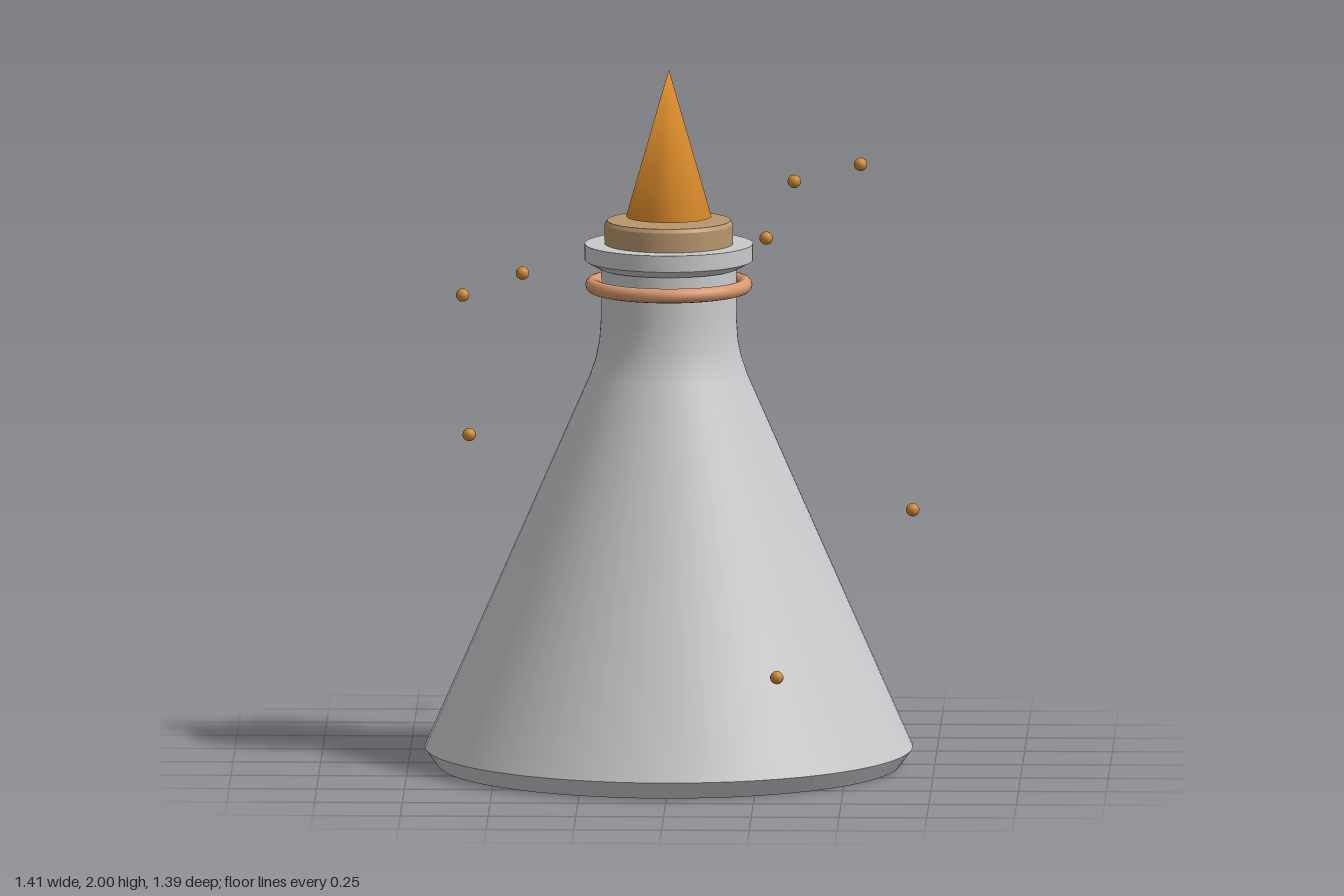
import * as THREE from 'three';
import { mergeVertices, toCreasedNormals } from 'three/addons/utils/BufferGeometryUtils.js';

const material = (name, color) => {
  const m = new THREE.MeshStandardMaterial({ color });
  m.name = name;
  return m;
};

export function createModel() {
  const glass = material('grey glass', 0xc8cacc);
  const corkBrown = material('cork brown', 0xb8966e);
  const copper = material('copper', 0xd9986f);
  const flameOrange = material('flame orange', 0xe08e2c);
  const sparkAmber = material('spark amber', 0xcc8833);

  const model = new THREE.Group();
  model.name = 'flask';
  const body = new THREE.Group();
  body.name = 'body';
  body.position.set(-0.008, 0, -0.003);
  model.add(body);

  const add = (parent, name, geometry, mat, x = 0, y = 0, z = 0) => {
    const mesh = new THREE.Mesh(geometry, mat);
    mesh.name = name;
    mesh.position.set(x, y, z);
    parent.add(mesh);
    return mesh;
  };
  // Turned solid with crisp edges where the profile bends sharply
  const turned = (points) => toCreasedNormals(
    new THREE.LatheGeometry(points.map(([r, y]) => new THREE.Vector2(r, y)), 64), 0.4);

  // Conical vessel with chamfered foot, soft shoulder and neck
  add(body, 'vessel', turned([
    [0, 0], [0.66, 0], [0.696, 0.05], [0.225, 1.12], [0.208, 1.17],
    [0.198, 1.22], [0.193, 1.29], [0.193, 1.44],
  ]), glass);

  // Lip around the mouth
  add(body, 'lip', turned([
    [0.18, 1.43], [0.2, 1.43], [0.24, 1.452], [0.24, 1.499], [0, 1.499],
  ]), glass);

  // Stopper with a small bevel
  add(body, 'cork', turned([
    [0, 1.45], [0.183, 1.45], [0.183, 1.555], [0.176, 1.566], [0, 1.566],
  ]), corkBrown);

  // Ring hung round the neck
  const ring = add(body, 'neckRing', new THREE.TorusGeometry(0.217, 0.021, 12, 64), copper, 0, 1.38, 0);
  ring.rotation.x = Math.PI / 2;

  // Flame cone, smoothed over tip and base
  const cone = new THREE.ConeGeometry(0.122, 0.424, 16);
  cone.deleteAttribute('uv');
  cone.deleteAttribute('normal');
  const flame = mergeVertices(cone);
  flame.computeVertexNormals();
  add(body, 'flame', flame, flameOrange, 0, 1.788, 0);

  // Sparks floating around the flask
  const sparks = new THREE.Group();
  sparks.name = 'sparks';
  model.add(sparks);
  const sparkGeometry = new THREE.SphereGeometry(0.019, 16, 12);
  [
    [0.363, 1.77, 0.59], [0.284, 1.613, 0.635], [0.528, 1.66, -0.448], [-0.412, 1.5, 0.572],
    [-0.604, 1.291, -0.37], [-0.586, 0.885, -0.396], [0.685, 0.72, -0.09], [0.314, 0.344, 0.62],
  ].forEach(([x, y, z], i) => add(sparks, `spark${i + 1}`, sparkGeometry, sparkAmber, x, y, z));

  return model;
}
